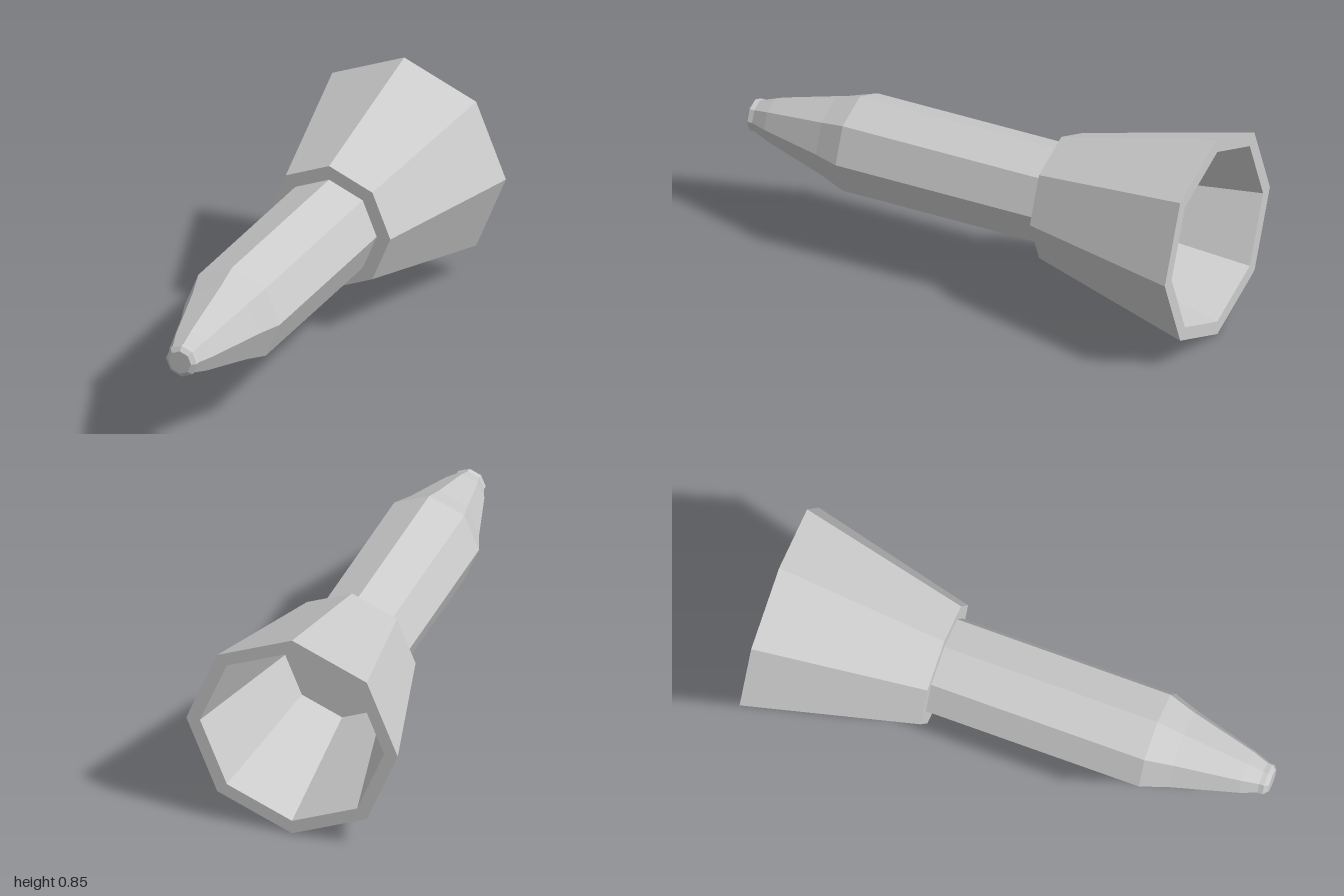
import * as THREE from 'three';

const SIDES = 8;
const AXIS_HEIGHT = 0.427;

// Eight-sided turned part; profile points are [radius, z], outside running back to front
function turned(name, profile) {
  const geometry = new THREE.LatheGeometry(profile.map(([r, z]) => new THREE.Vector2(r, z)), SIDES);
  geometry.rotateX(Math.PI / 2);
  const material = new THREE.MeshStandardMaterial({ color: 0xcccccc, flatShading: true });
  const mesh = new THREE.Mesh(geometry, material);
  mesh.name = name;
  mesh.position.y = AXIS_HEIGHT;
  return mesh;
}

export function createModel() {
  const group = new THREE.Group();
  group.name = 'flaredNozzle';

  // Straight barrel with a tapering nose and a small chamfered tip
  group.add(turned('barrel', [
    [0, -0.34], [0.2, -0.34], [0.2, 0.535], [0.163, 0.64],
    [0.09, 0.9], [0.065, 0.965], [0.065, 0.985], [0.047, 1], [0, 1],
  ]));

  // Hollow bell: cavity floor, inner wall, rim, outer wall, front shoulder
  group.add(turned('bell', [
    [0, -0.44], [0.23, -0.44], [0.372, -1],
    [0.427, -1], [0.257, -0.33], [0, -0.33],
  ]));

  return group;
}
